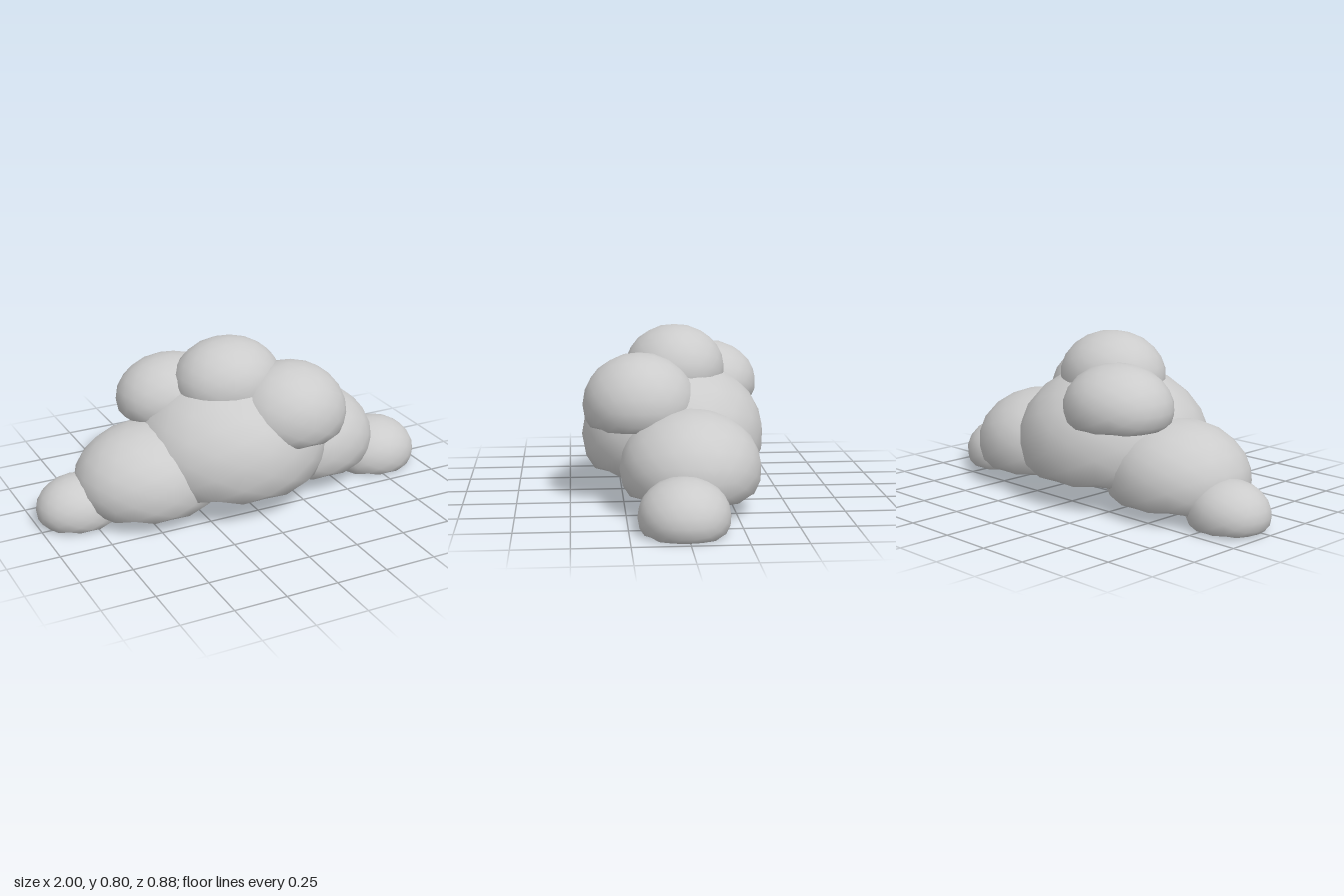
import * as THREE from 'three';
import { mergeVertices } from 'three/addons/utils/BufferGeometryUtils.js';

// Fraction of the lower radius at which every puff is cut flat
const FLOOR = -0.4;

// Low-poly smooth ellipsoid whose underside is pressed flat
function puffGeometry(rx, ry, rz) {
  let geo = new THREE.IcosahedronGeometry(1, 3);
  geo.deleteAttribute('uv');
  geo.deleteAttribute('normal');
  geo = mergeVertices(geo, 1e-4);
  const p = geo.attributes.position;
  for (let i = 0; i < p.count; i++) {
    p.setY(i, Math.max(p.getY(i), FLOOR));
  }
  geo.scale(rx, ry, rz);
  geo.computeVertexNormals();
  return geo;
}

export function createModel() {
  const cloud = new THREE.Group();
  cloud.name = 'cloud';
  const material = new THREE.MeshStandardMaterial({ color: 0xcccccc });

  // name, bottom y, top y, centre x and z, radius x and z
  const puffs = [
    ['mainPuff', 0.125, 0.64, -0.03, 0, 0.48, 0.44],
    ['rightPuff', 0.065, 0.44, -0.455, -0.01, 0.36, 0.322],
    ['leftPuff', 0.085, 0.465, 0.4, -0.05, 0.362, 0.325],
    ['rightEndPuff', 0.01, 0.227, -0.8, -0.05, 0.2, 0.18],
    ['leftEndPuff', 0, 0.24, 0.778, 0.01, 0.222, 0.203],
    ['backPuff', 0.405, 0.692, -0.25, -0.19, 0.272, 0.242],
    ['topPuff', 0.505, 0.8, -0.035, -0.01, 0.265, 0.24],
    ['frontPuff', 0.36, 0.697, 0.2, 0.172, 0.28, 0.266],
  ];

  for (const [name, bottom, top, x, z, rx, rz] of puffs) {
    const ry = (top - bottom) / (1 - FLOOR);
    const puff = new THREE.Mesh(puffGeometry(rx, ry, rz), material);
    puff.name = name;
    puff.position.set(x, top - ry, z);
    cloud.add(puff);
  }
  return cloud;
}
